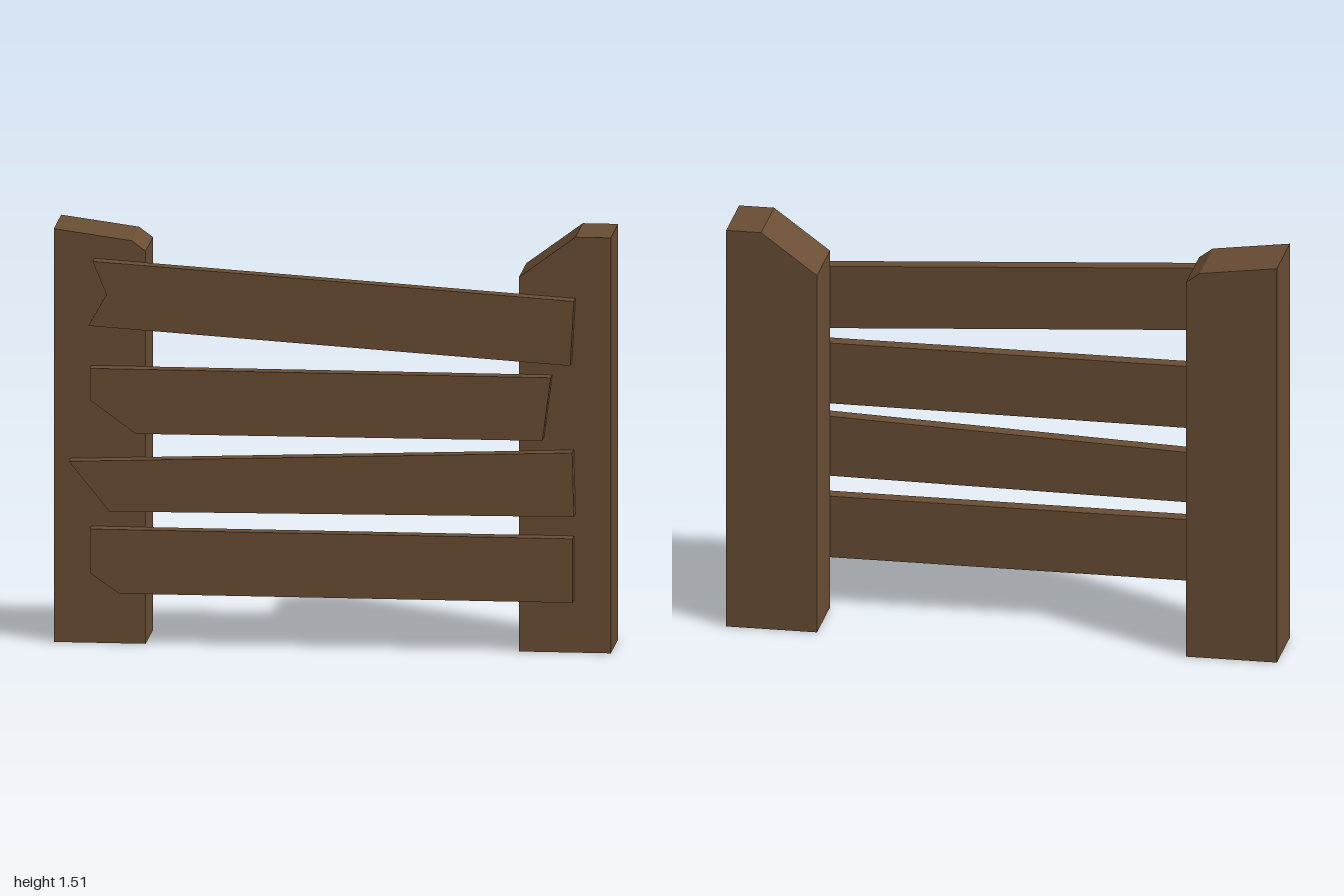
import * as THREE from 'three';

// Straight prism from a front outline, running from z0 to z1
function prism(points, z0, z1) {
  const shape = new THREE.Shape(points.map(([x, y]) => new THREE.Vector2(x, y)));
  const geo = new THREE.ExtrudeGeometry(shape, { depth: z1 - z0, bevelEnabled: false });
  return geo.translate(0, 0, z0);
}

// Remove the faces lying on the ground, leaving the base open
function openBase(geo) {
  const p = geo.attributes.position;
  const kept = [];
  for (let i = 0; i < p.count; i += 3) {
    const onGround = [0, 1, 2].every((k) => Math.abs(p.getY(i + k)) < 1e-5);
    if (!onGround) for (let k = 0; k < 3; k++) kept.push(p.getX(i + k), p.getY(i + k), p.getZ(i + k));
  }
  const open = new THREE.BufferGeometry();
  open.setAttribute('position', new THREE.Float32BufferAttribute(kept, 3));
  open.computeVertexNormals();
  return open;
}

export function createModel() {
  const group = new THREE.Group();
  group.name = 'brokenFence';
  const wood = new THREE.MeshStandardMaterial({ color: 0x6b4e35, side: THREE.DoubleSide });
  wood.name = 'brownWood';

  const add = (name, geo) => {
    const mesh = new THREE.Mesh(geo, wood);
    mesh.name = name;
    group.add(mesh);
  };

  // Thick posts with chipped tops and open bases
  const posts = {
    rightPost: [[-1, 0], [-0.67, 0], [-0.67, 1.43], [-0.72, 1.467], [-1, 1.505]],
    leftPost: [[0.67, 0], [1, 0], [1, 1.513], [0.873, 1.513], [0.67, 1.363]],
  };
  for (const [name, outline] of Object.entries(posts)) add(name, openBase(prism(outline, -0.155, 0.1)));

  // Planks with broken ends, nailed across the front
  const planks = {
    topPlank: [[-0.87, 1.165], [0.86, 1.055], [0.873, 1.29], [-0.855, 1.4], [-0.805, 1.28]],
    upperPlank: [[-0.865, 0.895], [-0.7, 0.775], [0.76, 0.78], [0.79, 1.01], [-0.865, 1.01]],
    lowerPlank: [[-0.94, 0.67], [-0.795, 0.49], [0.873, 0.505], [0.867, 0.738]],
    bottomPlank: [[-0.865, 0.265], [-0.76, 0.192], [0.868, 0.192], [0.868, 0.425], [-0.865, 0.425]],
  };
  for (const [name, outline] of Object.entries(planks)) add(name, prism(outline, 0.1, 0.155));

  return group;
}
